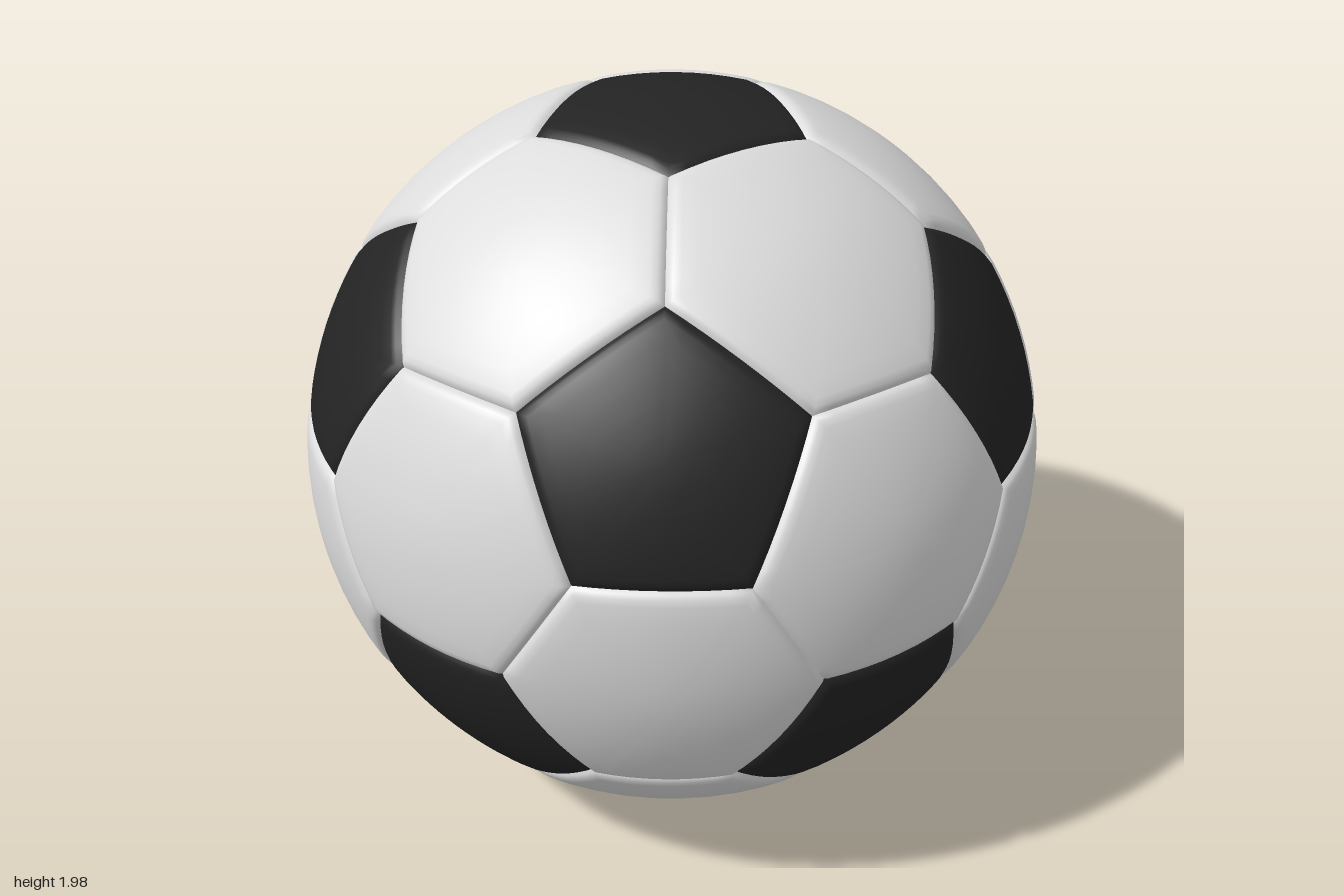
import * as THREE from 'three';

const CUT = 0.35;   // how far the pentagon corners reach along each icosahedron edge
const SPLIT = 8;    // segments along each panel side

// Rings across a panel: [fraction from centre to side, drop below the crown]
const RINGS = [[0.2, 0], [0.4, 0], [0.6, 0], [0.78, 0], [0.9, 0.001], [0.95, 0.004], [0.98, 0.01], [1, 0.02]];
const SEAM = 0.978; // radius at the stitched seams

// A domed panel with rounded sides; corners may come in any order
function panelGeometry(corners, crown) {
  const centre = new THREE.Vector3();
  corners.forEach((c) => centre.add(c));
  centre.normalize();

  // sort corners counter-clockwise as seen from outside
  const u = corners[0].clone().addScaledVector(centre, -corners[0].dot(centre)).normalize();
  const v = centre.clone().cross(u);
  const angle = (p) => Math.atan2(p.dot(v), p.dot(u));
  const sorted = [...corners].sort((a, b) => angle(a) - angle(b));

  // points along the outline
  const outline = [];
  sorted.forEach((c, i) => {
    const next = sorted[(i + 1) % sorted.length];
    for (let k = 0; k < SPLIT; k++) outline.push(c.clone().lerp(next, k / SPLIT).normalize());
  });

  const n = outline.length;
  const positions = centre.clone().multiplyScalar(crown).toArray();
  const index = [];
  RINGS.forEach(([s, drop], r) => {
    const radius = s === 1 ? SEAM : crown - drop;
    outline.forEach((p, i) => {
      positions.push(...centre.clone().lerp(p, s).setLength(radius).toArray());
      const j = (i + 1) % n;
      const outer = 1 + r * n;
      const inner = outer - n;
      if (r === 0) index.push(0, outer + i, outer + j);
      else index.push(inner + i, outer + i, outer + j, inner + i, outer + j, inner + j);
    });
  });

  const geometry = new THREE.BufferGeometry();
  geometry.setAttribute('position', new THREE.Float32BufferAttribute(positions, 3));
  geometry.setIndex(index);
  geometry.computeVertexNormals();
  return geometry;
}

export function createModel() {
  const white = new THREE.MeshStandardMaterial({ color: 0xdcdcdc });
  white.name = 'white leather';
  const black = new THREE.MeshStandardMaterial({ color: 0x232323 });
  black.name = 'black leather';

  // icosahedron corners: two poles and two staggered rings of five
  const h = 1 / Math.sqrt(5);
  const w = 2 / Math.sqrt(5);
  const ico = [new THREE.Vector3(0, 1, 0), new THREE.Vector3(0, -1, 0)];
  for (let i = 0; i < 5; i++) {
    const a = (i * 2 * Math.PI) / 5;
    const b = a + Math.PI / 5;
    ico.push(new THREE.Vector3(w * Math.cos(a), h, w * Math.sin(a)));
    ico.push(new THREE.Vector3(w * Math.cos(b), -h, w * Math.sin(b)));
  }
  const adjacent = (a, b) => a !== b && a.distanceTo(b) < 1.2;
  const cut = (a, b) => a.clone().lerp(b, CUT).normalize();

  const ball = new THREE.Group();
  ball.name = 'ball';
  const pentagons = new THREE.Group();
  pentagons.name = 'blackPentagons';
  const hexagons = new THREE.Group();
  hexagons.name = 'whiteHexagons';
  ball.add(pentagons, hexagons);

  const addPanel = (group, name, corners, crown, material) => {
    const mesh = new THREE.Mesh(panelGeometry(corners, crown), material);
    mesh.name = name;
    group.add(mesh);
  };

  // a black pentagon at every icosahedron corner
  ico.forEach((a) => {
    const corners = ico.filter((b) => adjacent(a, b)).map((b) => cut(a, b));
    addPanel(pentagons, 'pentagonPanel', corners, 0.992, black);
  });

  // a white hexagon on every icosahedron face
  for (let i = 0; i < 12; i++) {
    for (let j = i + 1; j < 12; j++) {
      for (let k = j + 1; k < 12; k++) {
        const [a, b, c] = [ico[i], ico[j], ico[k]];
        if (!adjacent(a, b) || !adjacent(b, c) || !adjacent(a, c)) continue;
        const corners = [cut(a, b), cut(b, a), cut(b, c), cut(c, b), cut(c, a), cut(a, c)];
        addPanel(hexagons, 'hexagonPanel', corners, 0.997, white);
      }
    }
  }

  ball.position.y = 1;
  const model = new THREE.Group();
  model.name = 'soccerBall';
  model.add(ball);
  return model;
}
